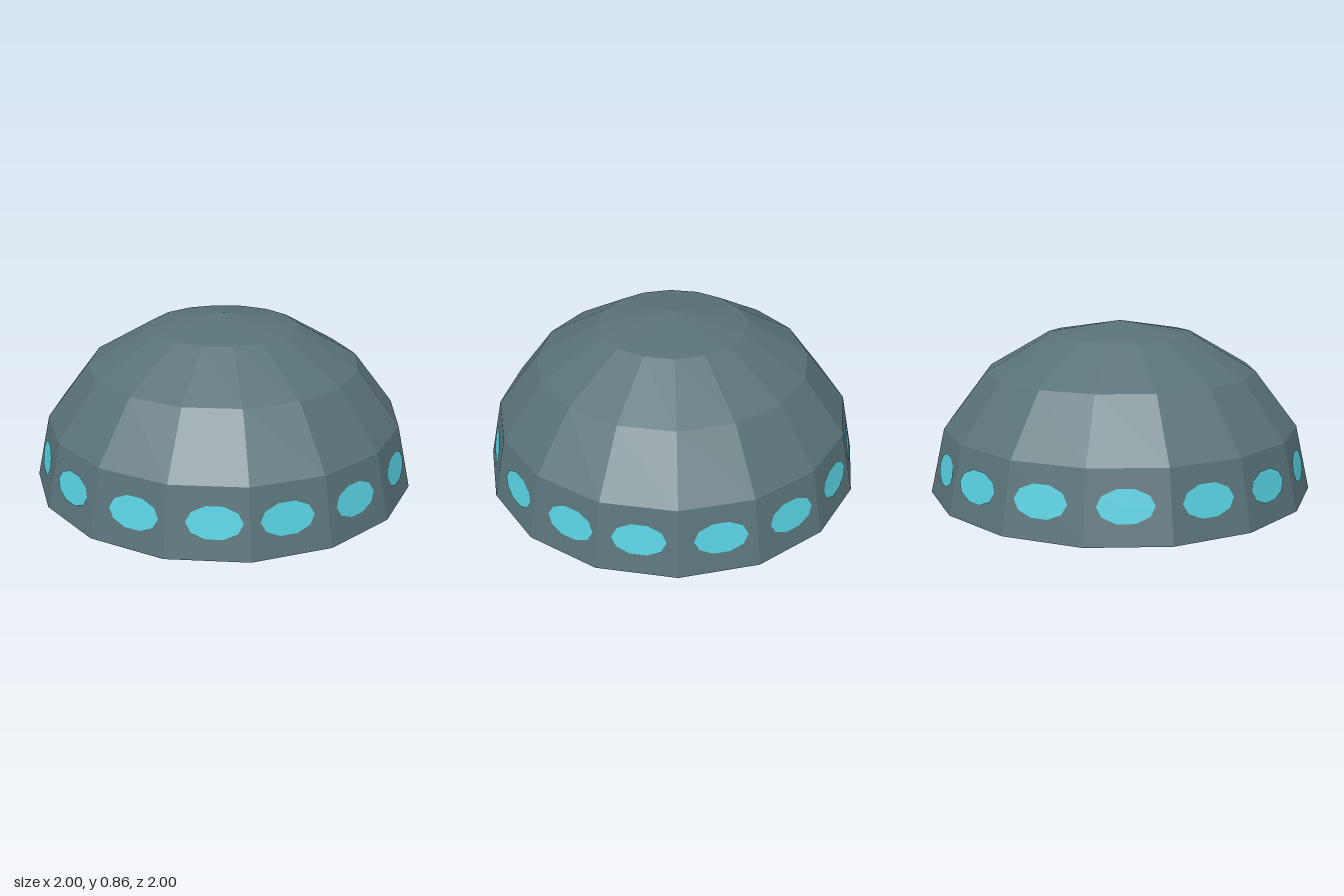
import * as THREE from 'three';

const SIDES = 16;
const HEIGHT = 0.863;

export function createModel() {
  const model = new THREE.Group();
  model.name = 'dome';

  const shellGrey = new THREE.MeshStandardMaterial({ color: 0x587278, flatShading: true, side: THREE.DoubleSide });
  shellGrey.name = 'shellGrey';
  const windowCyan = new THREE.MeshStandardMaterial({ color: 0x56ccdc, flatShading: true });
  windowCyan.name = 'windowCyan';

  // Open, faceted half-sphere shell, slightly squashed
  const shellGeometry = new THREE.SphereGeometry(1, SIDES, 4, 0, Math.PI * 2, 0, Math.PI / 2);
  shellGeometry.scale(1, HEIGHT, 1);
  const shell = new THREE.Mesh(shellGeometry, shellGrey);
  shell.name = 'shell';
  model.add(shell);

  // Centre line of one lowest-ring facet, from rim to upper edge
  const half = Math.PI / SIDES;
  const rim = Math.cos(half);
  const upper = rim * Math.cos(Math.PI / 8);
  const upperY = HEIGHT * Math.sin(Math.PI / 8);
  const lean = Math.atan2(rim - upper, upperY);

  // One oval window per facet, each a little off centre
  const windowY = 0.171;
  const windowZ = rim - (rim - upper) * windowY / upperY + 0.004;
  const windowGeometry = new THREE.CircleGeometry(1, 10);
  windowGeometry.scale(0.129, 0.079, 1);
  const shifts = [-0.01, 0.026, 0.034, 0.007, 0.014, 0.018, 0.015, -0.02,
    -0.02, -0.01, -0.006, -0.015, 0, 0.024, 0.03, -0.012];
  shifts.forEach((shift, i) => {
    const mount = new THREE.Group();
    mount.name = `windowMount${i + 1}`;
    mount.rotation.y = (2 * i + 1) * half;
    const pane = new THREE.Mesh(windowGeometry, windowCyan);
    pane.name = `window${i + 1}`;
    pane.position.set(shift, windowY, windowZ);
    pane.rotation.x = -lean;
    mount.add(pane);
    model.add(mount);
  });

  return model;
}
